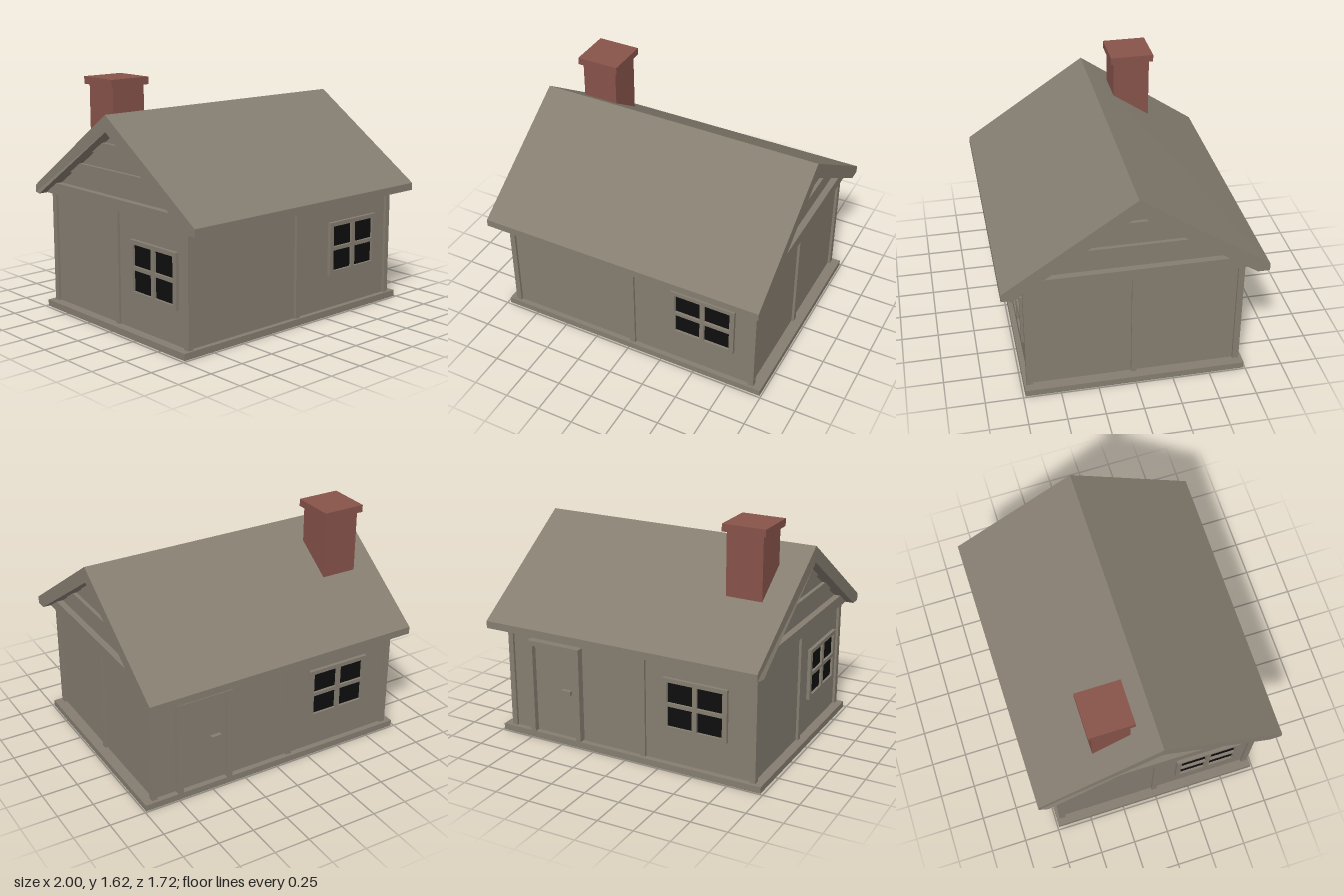
import * as THREE from 'three';

const wood = new THREE.MeshStandardMaterial({ color: 0x857d70 });
wood.name = 'weathered wood';
const brick = new THREE.MeshStandardMaterial({ color: 0x87534a });
brick.name = 'red brick';
const glass = new THREE.MeshStandardMaterial({ color: 0x0e0e0e });
glass.name = 'dark glass';

// Box given by its limits on each axis
function box(parent, name, mat, [x0, x1], [y0, y1], [z0, z1]) {
  const mesh = new THREE.Mesh(new THREE.BoxGeometry(x1 - x0, y1 - y0, z1 - z0), mat);
  mesh.position.set((x0 + x1) / 2, (y0 + y1) / 2, (z0 + z1) / 2);
  mesh.name = name;
  parent.add(mesh);
  return mesh;
}

// Cross-section in (z, y), symmetric about z = 0, extruded from x0 to x1
function section(points, x0, x1) {
  const shape = new THREE.Shape(points.map(([z, y]) => new THREE.Vector2(z, y)));
  const geo = new THREE.ExtrudeGeometry(shape, { depth: x1 - x0, bevelEnabled: false });
  return geo.rotateY(Math.PI / 2).translate(x0, 0, 0);
}

// Four-pane window facing +z, centred on its own origin
function makeWindow(name) {
  const group = new THREE.Group();
  group.name = name;
  const w = 0.23, h = 0.183;
  const shape = new THREE.Shape([[-w, -h], [w, -h], [w, h], [-w, h]].map(p => new THREE.Vector2(...p)));
  for (const sx of [-1, 1]) for (const sy of [-1, 1]) {
    const x0 = sx * 0.016, x1 = sx * 0.197, y0 = sy * 0.013, y1 = sy * 0.155;
    shape.holes.push(new THREE.Path([[x0, y0], [x0, y1], [x1, y1], [x1, y0]].map(p => new THREE.Vector2(...p))));
  }
  const frame = new THREE.Mesh(new THREE.ExtrudeGeometry(shape, { depth: 0.025, bevelEnabled: false }), wood);
  frame.name = 'windowFrame';
  group.add(frame);
  box(group, 'windowGlass', glass, [-0.21, 0.21], [-0.165, 0.165], [0, 0.008]);
  return group;
}

export function createModel() {
  const house = new THREE.Group();
  house.name = 'house';

  // Base and walls
  box(house, 'basePlinth', wood, [-0.98, 0.99], [0, 0.045], [-0.74, 0.735]);
  box(house, 'walls', wood, [-0.915, 0.915], [0.045, 0.82], [-0.7, 0.7]);

  // Corner posts and middle posts
  for (const sx of [-1, 1]) for (const sz of [-1, 1]) {
    const cx = sx * 0.914, cz = sz * 0.697;
    box(house, 'cornerPost', wood, [cx - 0.019, cx + 0.019], [0.045, 0.82], [cz - 0.021, cz + 0.021]);
  }
  box(house, 'frontMiddlePost', wood, [0, 0.04], [0.045, 0.82], [0.69, 0.718]);
  box(house, 'backMiddlePost', wood, [-0.135, -0.095], [0.045, 0.82], [-0.718, -0.69]);
  for (const sx of [-1, 1]) {
    const x = sx * 0.918;
    box(house, 'sideMiddlePost', wood, [x - 0.015, x + 0.015], [0.045, 0.82], [-0.017, 0.02]);
  }

  // Windows on the front, back and -x walls
  const front = makeWindow('frontWindow');
  front.position.set(0.55, 0.462, 0.699);
  const back = makeWindow('backWindow');
  back.position.set(-0.5, 0.462, -0.699);
  back.rotation.y = Math.PI;
  const side = makeWindow('sideWindow');
  side.position.set(-0.914, 0.462, 0.38);
  side.rotation.y = -Math.PI / 2;
  house.add(front, back, side);

  // Back door with frame and handle
  const door = new THREE.Group();
  door.name = 'door';
  box(door, 'doorPanel', wood, [0.38, 0.72], [0.055, 0.69], [-0.712, -0.69]);
  box(door, 'doorJamb', wood, [0.35, 0.388], [0.05, 0.72], [-0.75, -0.69]);
  box(door, 'doorJamb', wood, [0.717, 0.755], [0.05, 0.72], [-0.75, -0.69]);
  box(door, 'doorLintel', wood, [0.388, 0.717], [0.685, 0.72], [-0.75, -0.69]);
  box(door, 'doorHandle', wood, [0.43, 0.5], [0.37, 0.4], [-0.74, -0.7]);
  house.add(door);

  // Gabled roof shell, its back corner at -x slightly drawn in
  const roofGeo = section([
    [0.86, 0.8], [0.86, 0.85], [0, 1.43], [-0.86, 0.85], [-0.86, 0.8],
    [-0.78, 0.8], [0, 1.32], [0.78, 0.8],
  ], -1, 1);
  const pos = roofGeo.attributes.position;
  for (let i = 0; i < pos.count; i++) {
    if (pos.getX(i) < -0.99 && pos.getZ(i) < -0.85) {
      pos.setX(i, -0.985);
      pos.setZ(i, -0.845);
    }
  }
  roofGeo.computeVertexNormals();
  const roof = new THREE.Mesh(roofGeo, wood);
  roof.name = 'roof';
  house.add(roof);

  // Ceiling ledge and gable ends with raised boards
  box(house, 'ceilingLedge', wood, [-0.945, 0.945], [0.805, 0.885], [-0.775, 0.775]);
  const halfWidth = y => (1.325 - y) * 1.5;
  const gable = (name, y0, y1, x) => {
    const a = halfWidth(y0), b = halfWidth(y1);
    const mesh = new THREE.Mesh(section([[-a, y0], [a, y0], [b, y1], [-b, y1]], -x, x), wood);
    mesh.name = name;
    house.add(mesh);
  };
  gable('gableWall', 0.88, 1.32, 0.9);
  gable('gableBoard', 0.98, 1.055, 0.925);
  gable('gableBoard', 1.15, 1.225, 0.925);

  // Chimney
  box(house, 'chimneyStack', brick, [-0.815, -0.563], [0.9, 1.58], [-0.415, -0.16]);
  box(house, 'chimneyCap', brick, [-0.84, -0.54], [1.575, 1.625], [-0.44, -0.137]);

  return house;
}
